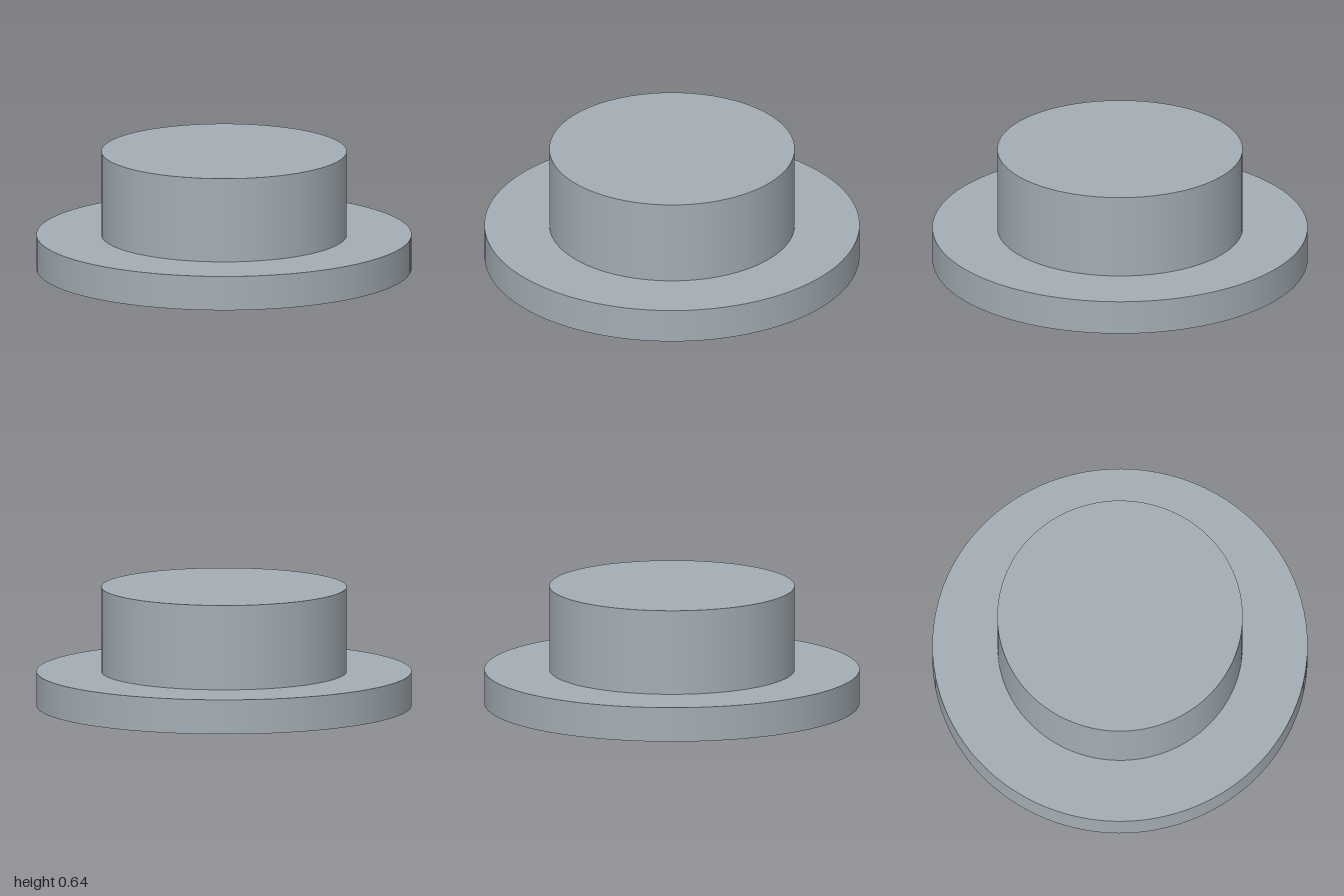
import * as THREE from 'three';

export function createModel() {
  const model = new THREE.Group();
  model.name = 'flangedPlug';

  const greyMetal = new THREE.MeshStandardMaterial({ color: 0xa3adb4 });
  greyMetal.name = 'greyMetal';

  // Upright disc spanning the heights bottom to top
  function addDisc(name, radius, bottom, top) {
    const geometry = new THREE.CylinderGeometry(radius, radius, top - bottom, 96);
    const mesh = new THREE.Mesh(geometry, greyMetal);
    mesh.name = name;
    mesh.position.y = (bottom + top) / 2;
    model.add(mesh);
  }

  addDisc('baseFlange', 1, 0, 0.185);
  addDisc('raisedBoss', 0.654, 0.185, 0.64);

  return model;
}
